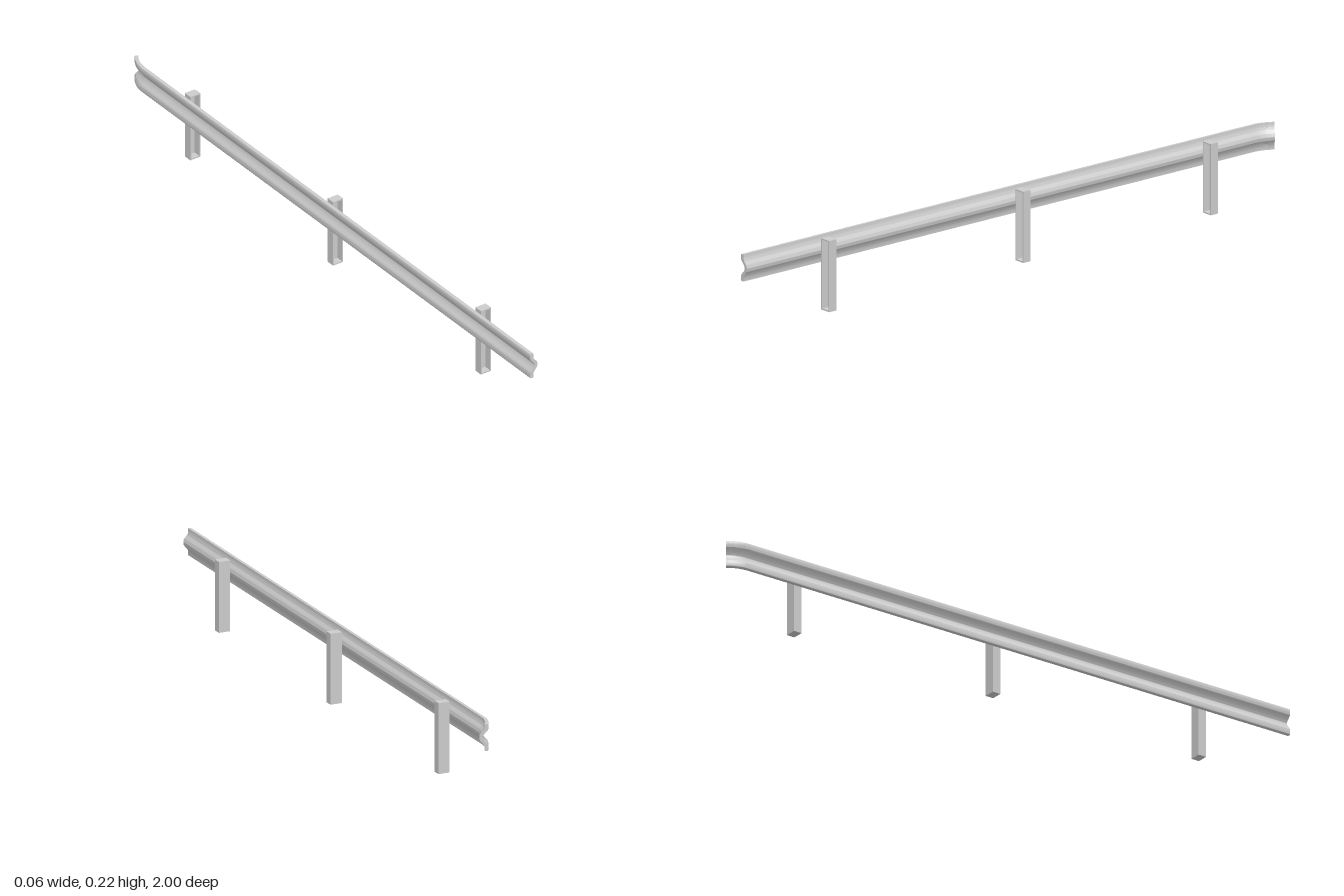
import * as THREE from 'three';
import { toCreasedNormals } from 'three/addons/utils/BufferGeometryUtils.js';

const material = new THREE.MeshStandardMaterial({ color: 0xcccccc });

// W-shaped rail section: x is measured from the road-side face, y is height
function railSection() {
  const s = new THREE.Shape();
  s.moveTo(0.003, 0.138);
  s.quadraticCurveTo(0, 0.138, 0, 0.142);
  s.lineTo(0, 0.151);
  s.quadraticCurveTo(0, 0.157, 0.004, 0.161);
  s.lineTo(0.013, 0.171);
  s.quadraticCurveTo(0.019, 0.179, 0.013, 0.187);
  s.lineTo(0.004, 0.197);
  s.quadraticCurveTo(0, 0.201, 0, 0.207);
  s.lineTo(0, 0.216);
  s.quadraticCurveTo(0, 0.22, 0.003, 0.22);
  s.lineTo(0.011, 0.22);
  s.lineTo(0.011, 0.208);
  s.quadraticCurveTo(0.011, 0.203, 0.015, 0.199);
  s.lineTo(0.022, 0.191);
  s.quadraticCurveTo(0.026, 0.186, 0.026, 0.179);
  s.quadraticCurveTo(0.026, 0.172, 0.022, 0.167);
  s.lineTo(0.015, 0.159);
  s.quadraticCurveTo(0.011, 0.155, 0.011, 0.15);
  s.lineTo(0.011, 0.138);
  s.closePath();
  return s;
}

// Straight run with the far end swept round an arc towards the posts
function makeRail() {
  const arcSteps = 12, steps = arcSteps + 1;
  const radius = 0.118, sweep = 0.635, faceX = -0.031;
  const bendZ = -1 + radius * Math.sin(sweep);
  const geo = new THREE.ExtrudeGeometry(railSection(), { depth: 1, steps, curveSegments: 6, bevelEnabled: false });
  const p = geo.attributes.position;
  for (let i = 0; i < p.count; i++) {
    const u = p.getX(i);
    const k = Math.round((1 - p.getZ(i)) * steps);
    if (k === 0) {
      p.setX(i, faceX + u);
      p.setZ(i, 1);
    } else {
      const a = sweep * (k - 1) / arcSteps;
      p.setX(i, faceX + radius - (radius - u) * Math.cos(a));
      p.setZ(i, bendZ - (radius - u) * Math.sin(a));
    }
  }
  const rail = new THREE.Mesh(toCreasedNormals(geo, 0.6), material);
  rail.name = 'guardRail';
  return rail;
}

// Post: a channel open towards the front, closed by thin caps at both ends
function makePost(z) {
  const post = new THREE.Group();
  post.name = 'post';
  const x0 = -0.005, x1 = 0.031, h = 0.216, d = 0.027, t = 0.004;

  const rect = (target, inset) => {
    target.moveTo(x0 + inset, inset);
    target.lineTo(x1 - inset, inset);
    target.lineTo(x1 - inset, h - inset);
    target.lineTo(x0 + inset, h - inset);
    target.closePath();
    return target;
  };
  const outline = rect(new THREE.Shape(), 0);
  outline.holes.push(rect(new THREE.Path(), t));
  const frame = new THREE.Mesh(
    new THREE.ExtrudeGeometry(outline, { depth: d - t, bevelEnabled: false }), material);
  frame.name = 'postFlanges';
  frame.position.z = t - d / 2;

  const web = new THREE.Mesh(new THREE.BoxGeometry(x1 - x0, h, t), material);
  web.name = 'postWeb';
  web.position.set((x0 + x1) / 2, h / 2, (t - d) / 2);

  post.add(frame, web);
  post.position.z = z;
  return post;
}

export function createModel() {
  const model = new THREE.Group();
  model.name = 'roadBarrier';
  model.add(makeRail());
  for (const z of [0.705, -0.03, -0.74]) model.add(makePost(z));
  return model;
}
